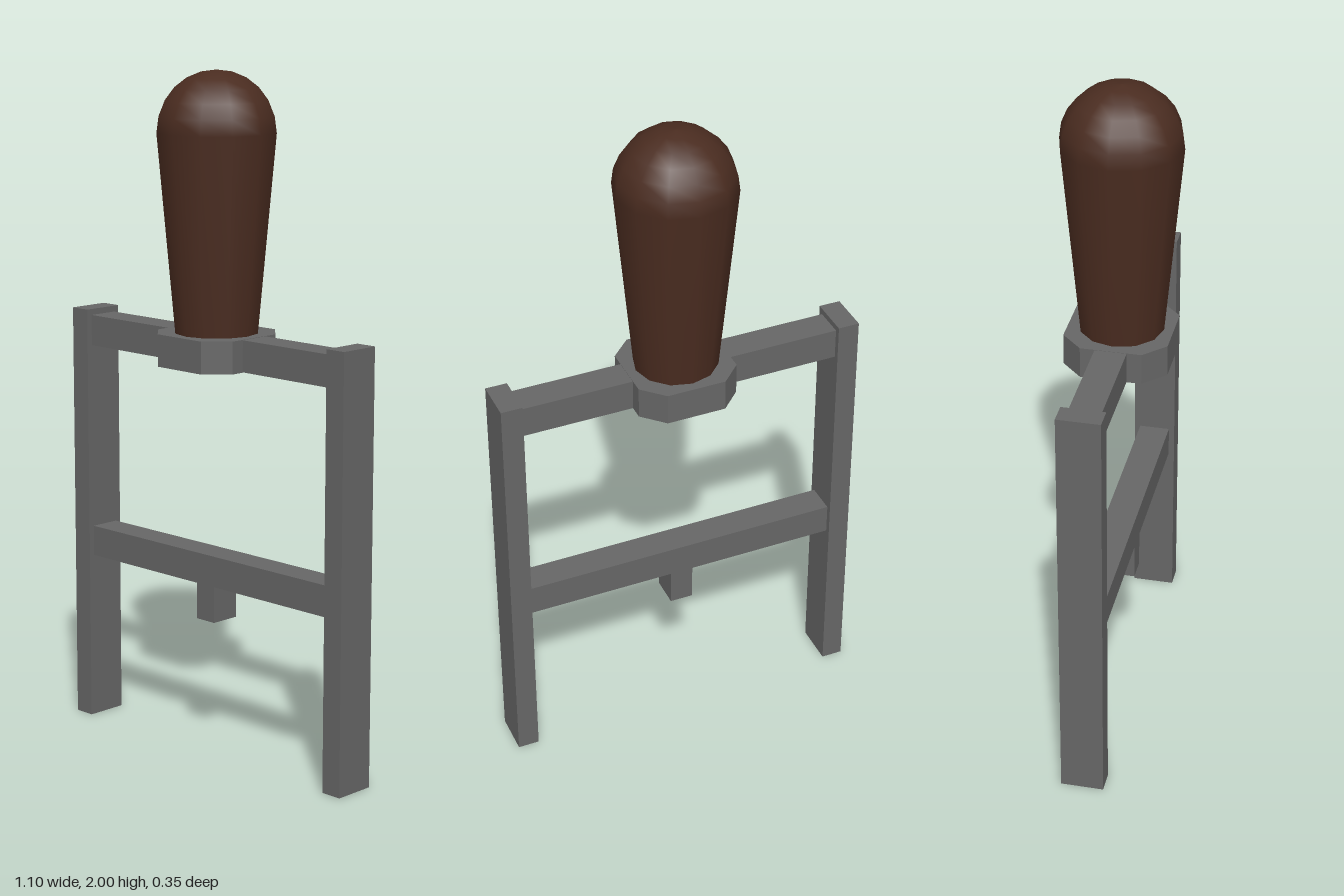
import * as THREE from 'three';

export function createModel() {
  const model = new THREE.Group();
  const metal = new THREE.MeshStandardMaterial({ color: 0x666666 });
  const wood = new THREE.MeshStandardMaterial({ color: 0x4a2c20 });

  const add = (name, geometry, material) => {
    const mesh = new THREE.Mesh(geometry, material);
    mesh.name = name;
    model.add(mesh);
    return mesh;
  };
  // Box centred on z = 0, given by its x centre and its bottom and top heights
  const bar = (name, x, width, y0, y1, depth) =>
    add(name, new THREE.BoxGeometry(width, y1 - y0, depth), metal).position.set(x, (y0 + y1) / 2, 0);

  // Frame: two uprights, two crossbars and a small peg below the lower one
  bar('leftPost', 0.516, 0.064, 0, 1.27, 0.126);
  bar('rightPost', -0.516, 0.064, 0, 1.27, 0.126);
  bar('topCrossbar', 0, 0.97, 1.16, 1.252, 0.092);
  bar('lowerCrossbar', 0, 0.97, 0.508, 0.6, 0.092);
  bar('peg', 0, 0.07, 0.4, 0.51, 0.092);

  // Collar: square block with cut corners under the handle
  const a = 0.15, b = 0.088;
  const outline = new THREE.Shape(
    [[a, -b], [a, b], [b, a], [-b, a], [-a, b], [-a, -b], [-b, -a], [b, -a]]
      .map(([x, y]) => new THREE.Vector2(x, y))
  );
  const collarGeometry = new THREE.ExtrudeGeometry(outline, { depth: 0.094, bevelEnabled: false });
  collarGeometry.rotateX(-Math.PI / 2);
  add('collar', collarGeometry, metal).position.y = 1.159;

  // Handle: tapered grip with a domed top
  const radius = 0.175, domeY = 2 - radius, steps = 6;
  const profile = [new THREE.Vector2(0.122, 1.25)];
  for (let i = 0; i <= steps; i++) {
    const t = (i / steps) * Math.PI / 2;
    profile.push(new THREE.Vector2(i === steps ? 0 : radius * Math.cos(t), domeY + radius * Math.sin(t)));
  }
  add('handle', new THREE.LatheGeometry(profile, 12), wood);

  return model;
}
